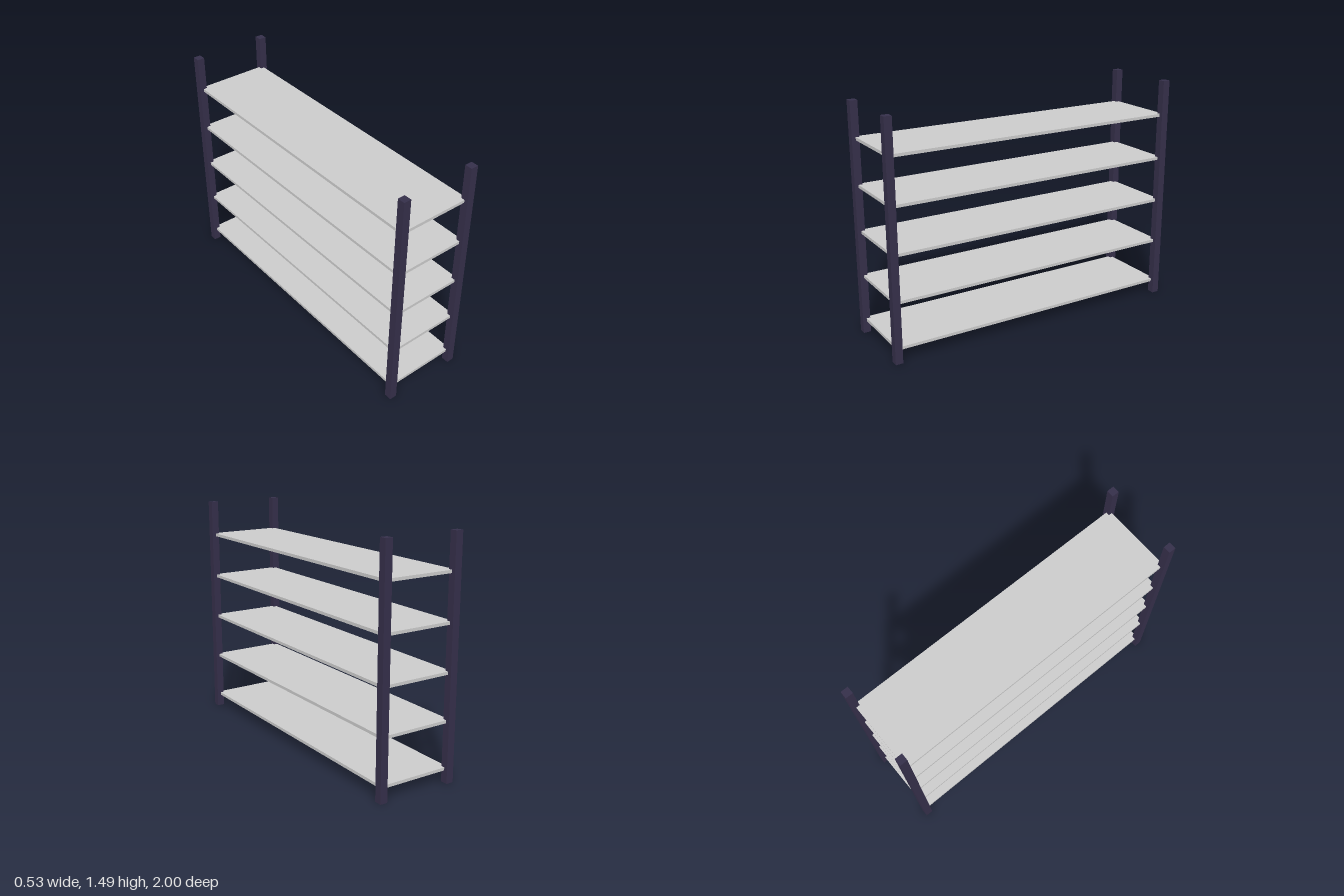
import * as THREE from 'three';

const POST = { size: 0.048, height: 1.488, x: 0.243, z: 0.976 };
const SHELF = { thickness: 0.019, count: 5, firstY: 0.087, spacing: 0.293 };

export function createModel() {
  const rack = new THREE.Group();
  rack.name = 'shelvingRack';
  const postMaterial = new THREE.MeshStandardMaterial({ color: 0x352f4a });
  const shelfMaterial = new THREE.MeshStandardMaterial({ color: 0xcccccc });

  // Four square corner posts
  const postGeometry = new THREE.BoxGeometry(POST.size, POST.height, POST.size);
  for (const [sx, side] of [[1, 'Left'], [-1, 'Right']]) {
    for (const [sz, end] of [[1, 'front'], [-1, 'back']]) {
      const post = new THREE.Mesh(postGeometry, postMaterial);
      post.name = `${end}${side}Post`;
      post.position.set(sx * POST.x, POST.height / 2, sz * POST.z);
      rack.add(post);
    }
  }

  // Evenly spaced shelves, their corners ending at the post centres
  const shelfGeometry = new THREE.BoxGeometry(POST.x * 2, SHELF.thickness, POST.z * 2);
  for (let i = 0; i < SHELF.count; i++) {
    const shelf = new THREE.Mesh(shelfGeometry, shelfMaterial);
    shelf.name = `shelf${i + 1}`;
    shelf.position.y = SHELF.firstY + i * SHELF.spacing;
    rack.add(shelf);
  }
  return rack;
}
